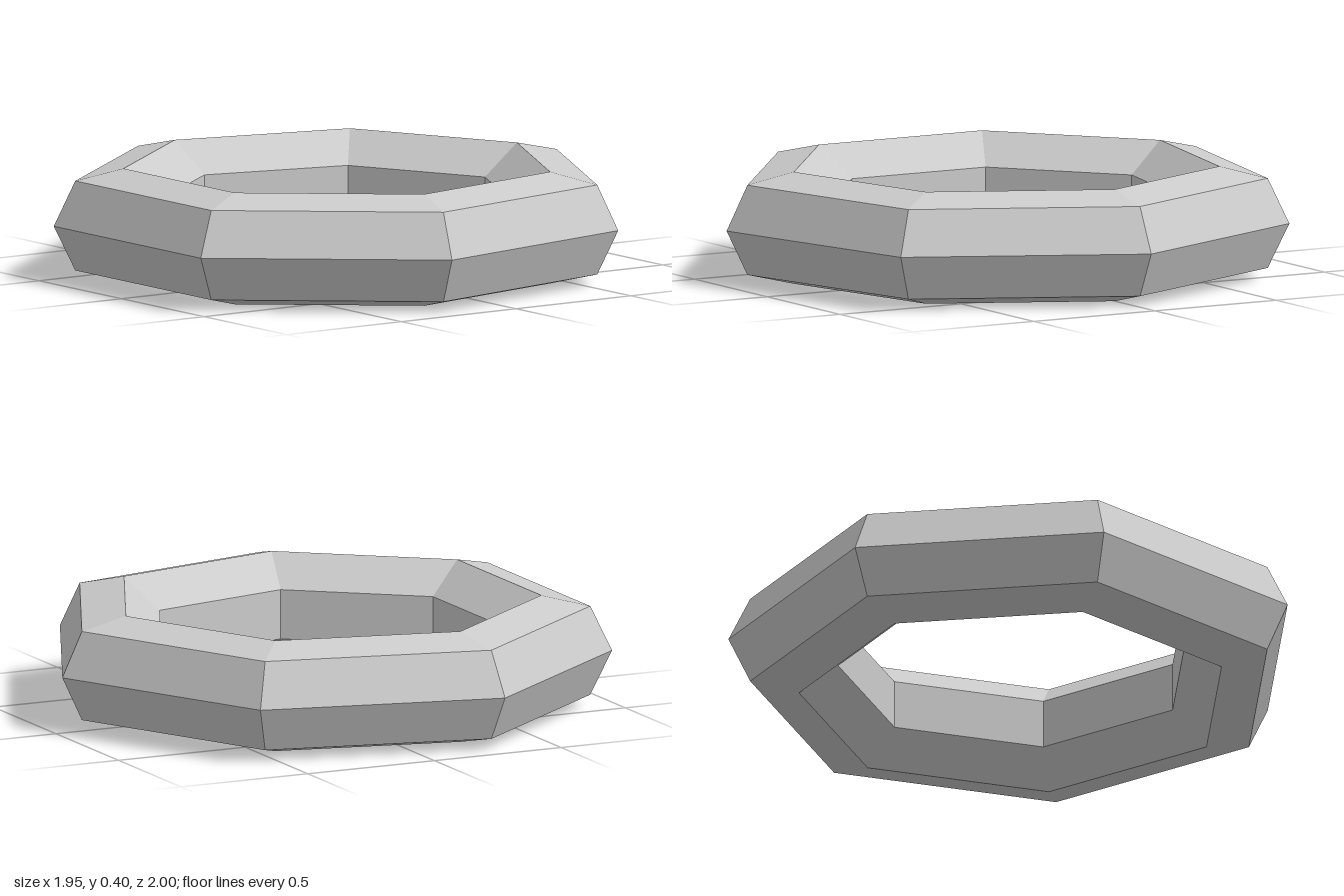
import * as THREE from 'three';

export function createModel() {
  const group = new THREE.Group();
  group.name = 'heptagonalRing';

  const grey = new THREE.MeshStandardMaterial({ color: 0xcccccc, flatShading: true });
  grey.name = 'light grey';

  // Seven-sided ring with a seven-sided cross-section, lying flat
  const sides = 7;
  const ringRadius = 0.8206;
  const tubeRadius = 0.2051;
  const geometry = new THREE.TorusGeometry(ringRadius, tubeRadius, sides, sides)
    .rotateX(-Math.PI / 2)
    .toNonIndexed();
  geometry.computeVertexNormals();

  // Centre the odd-sided outline on x and rest it on the ground
  geometry.computeBoundingBox();
  const { min, max } = geometry.boundingBox;
  geometry.translate(-(min.x + max.x) / 2, -min.y, -(min.z + max.z) / 2);

  const ring = new THREE.Mesh(geometry, grey);
  ring.name = 'ring';
  group.add(ring);
  return group;
}
